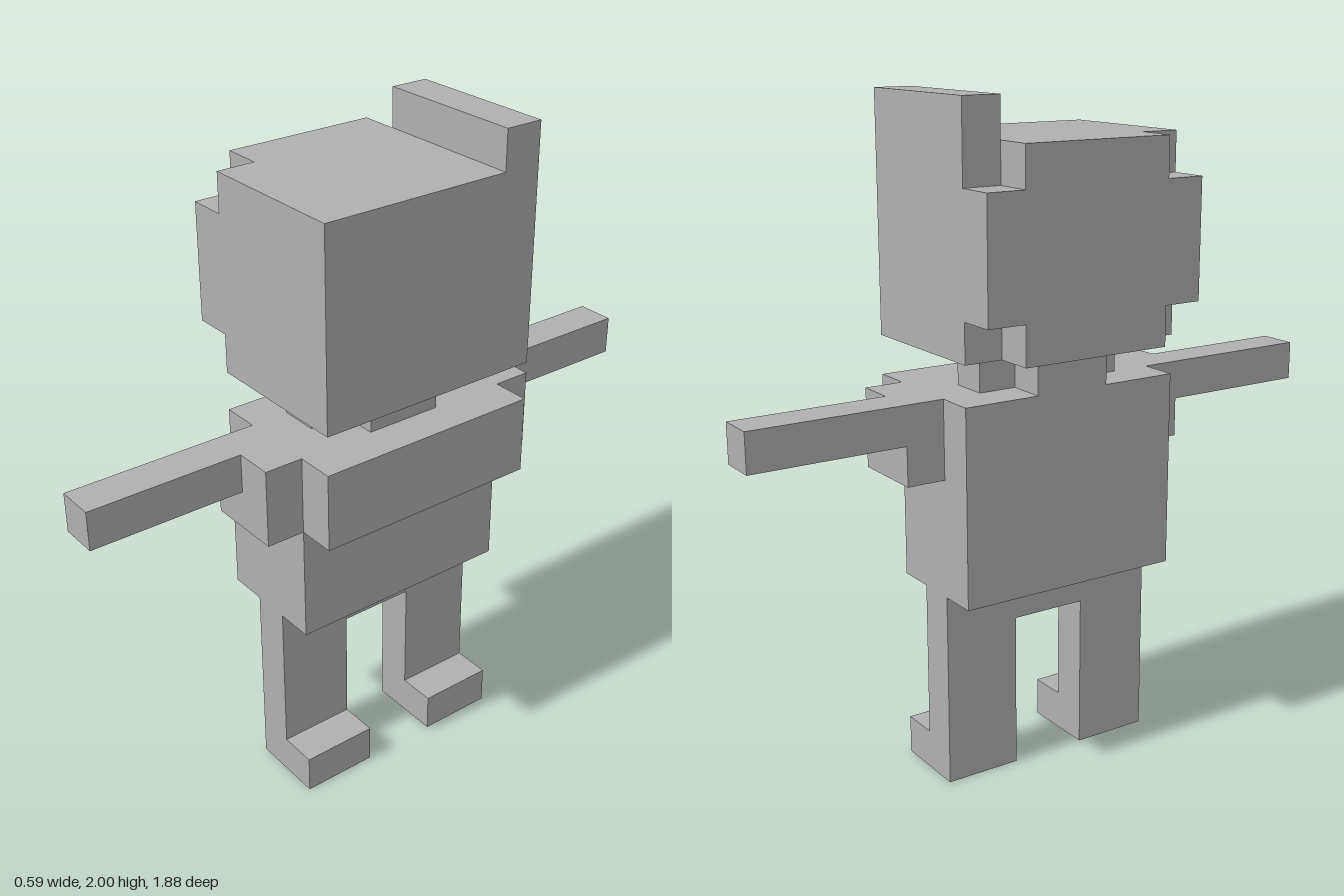
import * as THREE from 'three';

// One block of the model's grid: 17 blocks tall = 2 units
const U = 2 / 17;

export function createModel() {
  const model = new THREE.Group();
  model.name = 'blockFigure';
  const grey = new THREE.MeshStandardMaterial({ color: 0xb0b0b0 });
  grey.name = 'grey';

  // Box between block coordinates [min, max] on each axis
  function block(name, [x0, x1], [y0, y1], [z0, z1]) {
    const mesh = new THREE.Mesh(
      new THREE.BoxGeometry((x1 - x0) * U, (y1 - y0) * U, (z1 - z0) * U), grey);
    mesh.position.set((x0 + x1) / 2 * U, (y0 + y1) / 2 * U, (z0 + z1) / 2 * U);
    mesh.name = name;
    model.add(mesh);
  }

  // Block repeated on both sides of the body
  function pair(name, x, y, [z0, z1]) {
    block(name + 'A', x, y, [z0, z1]);
    block(name + 'B', x, y, [-z1, -z0]);
  }

  // Legs, feet and hips (the figure looks along +x)
  pair('leg', [-0.5, 0.5], [0, 5], [1, 3]);
  pair('foot', [0.5, 1.5], [0, 1], [1, 3]);
  block('hips', [-0.5, 0.5], [4, 5], [-1, 1]);

  // Torso with protruding chest
  block('torso', [-1.5, 1.5], [5, 10], [-3, 3]);
  block('chest', [1.5, 2.5], [8, 10], [-3, 3]);

  // Shoulders and outstretched arms
  pair('shoulder', [-0.5, 1.5], [8, 10], [3, 4]);
  pair('arm', [-0.5, 0.5], [9, 10], [4, 8]);

  // Cross-shaped neck
  block('neck', [-1.5, 1.5], [10, 11], [-1, 1]);
  pair('neckSide', [-0.5, 0.5], [10, 11], [1, 2]);

  // Head; its back layer has the four corners cut away
  block('head', [-1.5, 2.5], [11, 16], [-3, 3]);
  block('headBack', [-2.5, -1.5], [11, 16], [-2, 2]);
  pair('headBackSide', [-2.5, -1.5], [12, 15], [2, 3]);

  // Ridge along one side of the head top
  block('headRidge', [-1.5, 2.5], [16, 17], [-3, -2]);

  return model;
}
